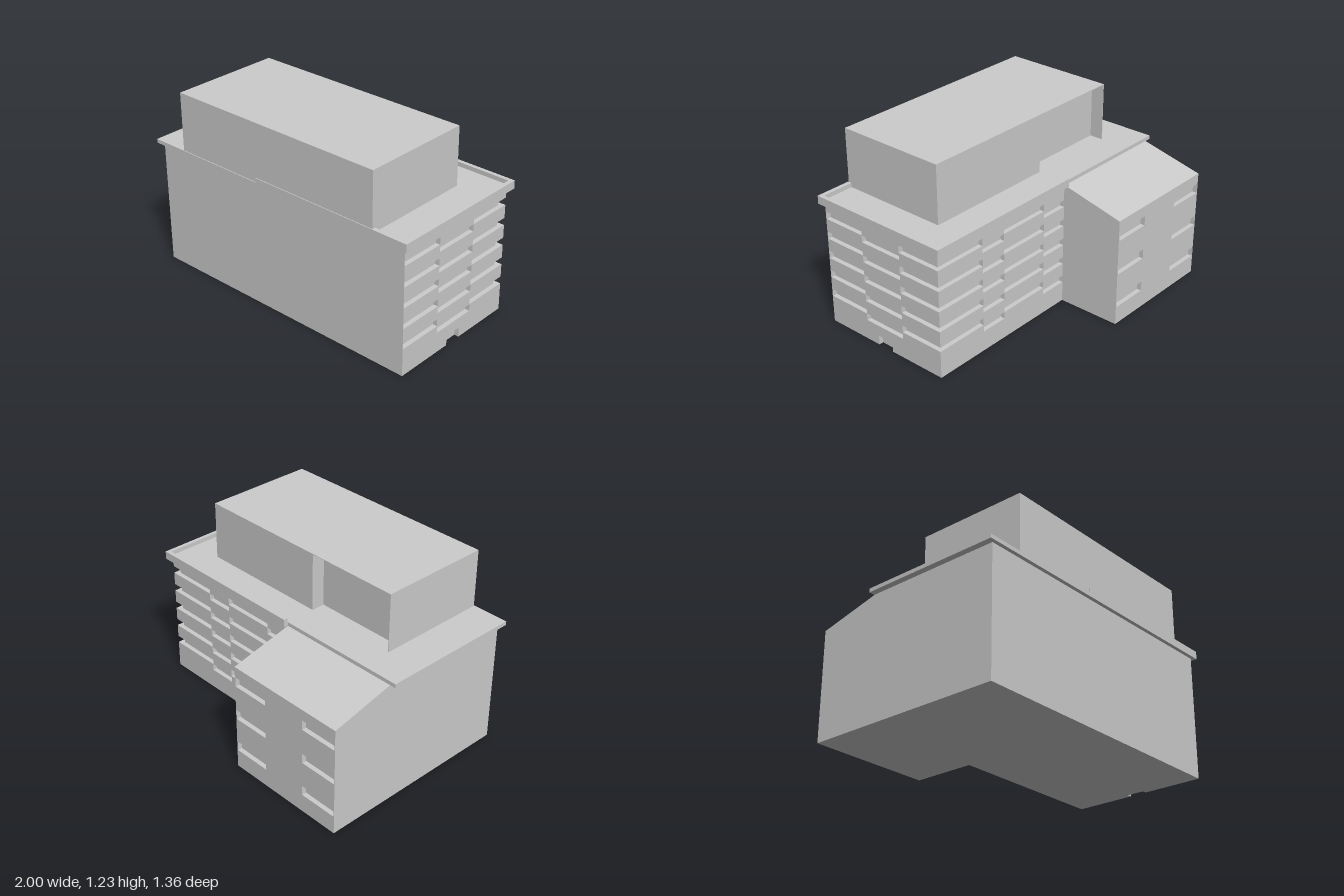
import * as THREE from 'three';

export function createModel() {
  const model = new THREE.Group();
  const material = new THREE.MeshStandardMaterial({ color: 0xcccccc, flatShading: true });

  const add = (parent, name, geometry) => {
    const mesh = new THREE.Mesh(geometry, material);
    mesh.name = name;
    parent.add(mesh);
    return mesh;
  };
  // Box given by its limits on each axis
  const block = (parent, name, [x0, x1], [y0, y1], [z0, z1]) =>
    add(parent, name, new THREE.BoxGeometry(x1 - x0, y1 - y0, z1 - z0)
      .translate((x0 + x1) / 2, (y0 + y1) / 2, (z0 + z1) / 2));
  const group = (name) => {
    const g = new THREE.Group();
    g.name = name;
    model.add(g);
    return g;
  };

  // Main block: a recessed core with a solid front wall
  const main = group('mainBlock');
  block(main, 'core', [-0.96, 0.94], [0, 0.82], [-0.235, 0.648]);
  block(main, 'frontWall', [-0.96, 0.97], [0, 0.82], [0.646, 0.65]);

  // Wall strips between the window bands; low bands sit one step down
  const bandBottoms = [0.18, 0.314, 0.448, 0.582, 0.716];
  const bandHeight = 0.048;
  const wallStrips = (low, start = 0) => {
    const strips = [];
    let y = start;
    for (const b of bandBottoms) {
      const bottom = low ? b - 0.046 : b;
      strips.push([y, bottom]);
      y = low ? b : b + bandHeight;
    }
    strips.push([y, 0.82]);
    return strips;
  };

  // Side facade, with a doorway in the low middle bay
  const side = group('sideFacade');
  const sideBays = [
    [-0.235, 0.04, false, 0],
    [0.04, 0.135, true, 0],
    [0.135, 0.25, true, 0.063],
    [0.25, 0.345, true, 0],
    [0.345, 0.647, false, 0],
  ];
  for (const [z0, z1, low, start] of sideBays)
    for (const strip of wallStrips(low, start)) block(side, 'sideWallStrip', [0.94, 0.97], strip, [z0, z1]);

  // Back facade, wrapping the corner
  const back = group('backFacade');
  const backBays = [
    [0.605, 0.97, false],
    [0.42, 0.605, true],
    [0.06, 0.42, false],
    [-0.13, 0.06, true],
  ];
  for (const [x0, x1, low] of backBays)
    for (const strip of wallStrips(low)) block(back, 'backWallStrip', [x0, x1], strip, [-0.265, -0.235]);

  // Annex with sloping roof; the profile runs backwards from the main block
  const annex = group('annex');
  const profile = new THREE.Shape([
    [0.235, 0], [0.655, 0], [0.655, 0.72], [0.685, 0.72], [0.265, 0.82], [0.235, 0.82],
  ].map(([u, y]) => new THREE.Vector2(u, y)));
  add(annex, 'annexBody', new THREE.ExtrudeGeometry(profile, { depth: 0.83, bevelEnabled: false })
    .rotateY(Math.PI / 2).translate(-0.96, 0, 0));

  // Annex back wall with six window openings
  const rectangle = (Kind, x0, x1, y0, y1) => new Kind([
    new THREE.Vector2(x0, y0), new THREE.Vector2(x1, y0),
    new THREE.Vector2(x1, y1), new THREE.Vector2(x0, y1),
  ]);
  const wall = rectangle(THREE.Shape, -0.96, -0.13, 0, 0.72);
  for (const y of [0.12, 0.352, 0.585])
    for (const x of [-0.955, -0.39])
      wall.holes.push(rectangle(THREE.Path, x, x + 0.255, y, y + 0.064));
  add(annex, 'annexBackWall', new THREE.ExtrudeGeometry(wall, { depth: 0.03, bevelEnabled: false })
    .translate(0, 0, -0.685));

  // Roof slab and the parapet around its wider half
  const roof = group('roof');
  block(roof, 'lowSlab', [-1, -0.13], [0.82, 0.845], [-0.27, 0.675]);
  block(roof, 'wideSlab', [-0.13, 1], [0.82, 0.845], [-0.3, 0.675]);
  block(roof, 'backParapet', [-0.13, 1], [0.845, 0.873], [-0.3, -0.274]);
  block(roof, 'frontParapet', [-0.13, 1], [0.845, 0.873], [0.647, 0.675]);
  block(roof, 'sideParapet', [0.974, 1], [0.845, 0.873], [-0.274, 0.647]);

  // Penthouse with a covered recess along half of its back
  const penthouse = group('penthouse');
  block(penthouse, 'penthouseBlock', [-0.13, 0.76], [0.845, 1.226], [-0.07, 0.67]);
  block(penthouse, 'recessedBlock', [-0.755, -0.13], [0.845, 1.226], [0.02, 0.67]);
  block(penthouse, 'roofOverhang', [-0.755, -0.13], [1.222, 1.226], [-0.07, 0.02]);
  block(penthouse, 'endFin', [-0.755, -0.751], [0.845, 1.222], [-0.07, 0.02]);

  return model;
}
